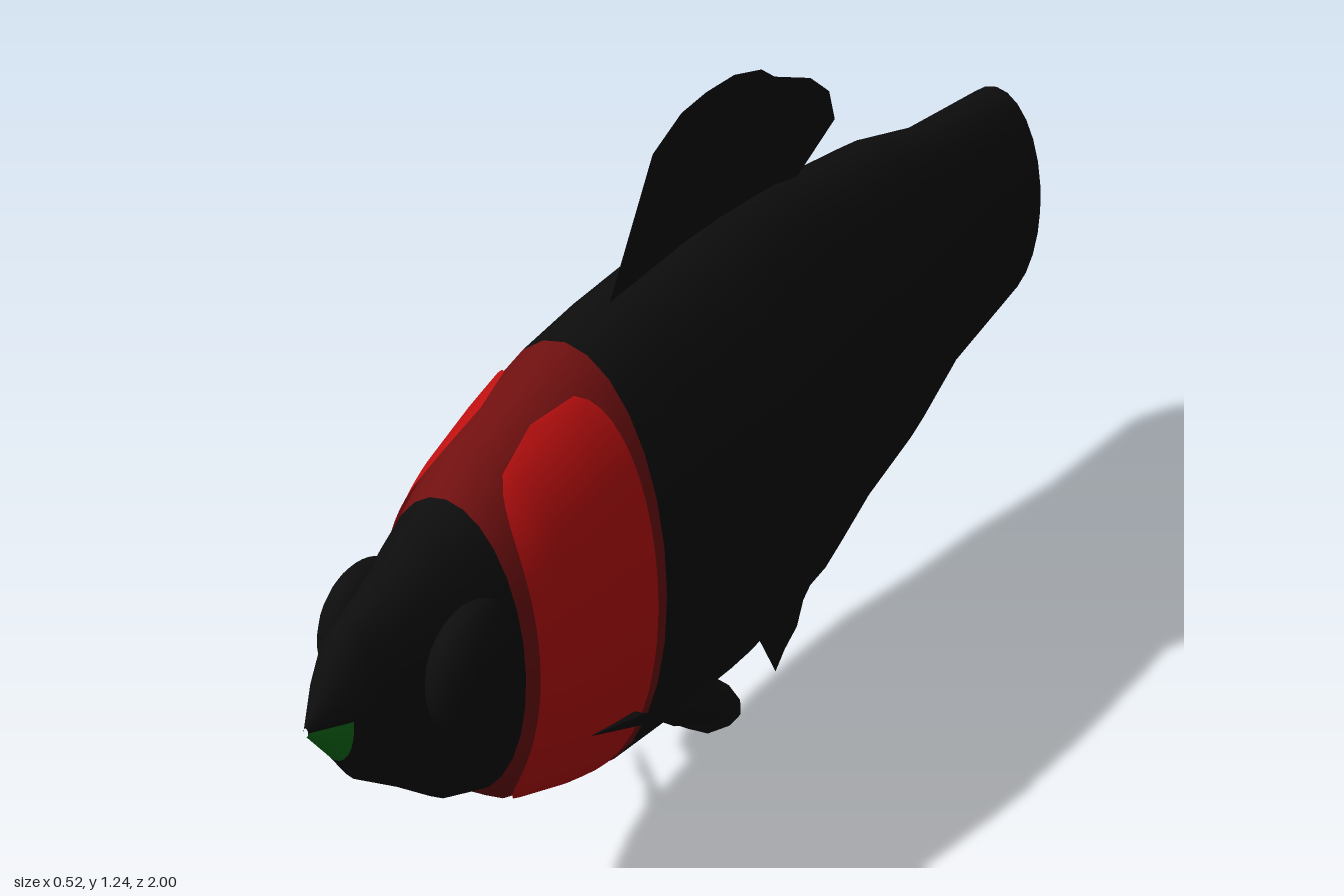
import * as THREE from 'three';

const black = new THREE.MeshStandardMaterial({ color: 0x0d0d0d, side: THREE.DoubleSide });
black.name = 'black';
const darkRed = new THREE.MeshStandardMaterial({ color: 0x701010 });
darkRed.name = 'dark red';
const brightRed = new THREE.MeshStandardMaterial({ color: 0xc01010, side: THREE.DoubleSide });
brightRed.name = 'bright red';
const green = new THREE.MeshStandardMaterial({ color: 0x0f7018 });
green.name = 'green';

// Body stations from nose to tail: z, top y, bottom y, half width
const STATIONS = [
  [1.0, 0.685, 0.67, 0.004], [0.94, 0.76, 0.59, 0.04], [0.9, 0.8, 0.53, 0.06],
  [0.8, 0.828, 0.45, 0.085], [0.72, 0.862, 0.38, 0.11], [0.65, 0.88, 0.35, 0.135],
  [0.58, 0.925, 0.29, 0.15], [0.45, 0.965, 0.235, 0.168], [0.34, 0.99, 0.2, 0.181],
  [0.2, 1.0, 0.186, 0.19], [0, 1.005, 0.17, 0.194], [-0.1, 1.0, 0.178, 0.192],
  [-0.25, 0.985, 0.195, 0.183], [-0.4, 0.947, 0.255, 0.163], [-0.57, 0.92, 0.295, 0.148],
  [-0.75, 0.866, 0.362, 0.118], [-1, 0.835, 0.398, 0.1],
];

// Point on the body surface at a given z and angle, pushed out by an offset
function bodyPoint(z, angle, offset = 0) {
  let i = 0;
  while (i < STATIONS.length - 2 && STATIONS[i + 1][0] > z) i++;
  const [a, b] = [STATIONS[i], STATIONS[i + 1]];
  const t = (a[0] - z) / (a[0] - b[0]);
  const [, top, bottom, w] = a.map((v, k) => v + (b[k] - v) * t);
  return [
    Math.cos(angle) * (w + offset),
    (top + bottom) / 2 + Math.sin(angle) * ((top - bottom) / 2 + offset),
    z,
  ];
}

// Geometry from positions and one index list per material
function surface(positions, lists) {
  const geo = new THREE.BufferGeometry();
  geo.setAttribute('position', new THREE.Float32BufferAttribute(positions, 3));
  geo.setIndex(lists.flat());
  let start = 0;
  lists.forEach((list, m) => {
    geo.addGroup(start, list.length, m);
    start += list.length;
  });
  geo.computeVertexNormals();
  return geo;
}

// Elliptical loft, with a dark red collar and a green lower lip
function bodyGeometry() {
  const N = 28, positions = [], lists = [[], [], []];
  STATIONS.forEach(([z], i) => {
    for (let j = 0; j < N; j++) positions.push(...bodyPoint(z, (j / N) * Math.PI * 2));
    if (i === STATIONS.length - 1) return;
    for (let j = 0; j < N; j++) {
      const a = i * N + j, b = i * N + ((j + 1) % N), c = a + N, d = b + N;
      const collar = z <= 0.65 && z > 0.34;
      const lip = i === 0 && j >= N / 2;
      lists[collar ? 1 : lip ? 2 : 0].push(a, c, b, b, c, d);
    }
  });
  return surface(positions, lists);
}

// Rounded cheek panel lying just above the collar
function cheekGeometry() {
  const rows = 28, cols = 10, positions = [], list = [];
  for (let r = 0; r <= rows; r++) {
    const t = (r / rows) * 2 - 1;
    const half = 0.13 * Math.pow(Math.max(0, 1 - Math.pow(Math.abs(t), 4)), 0.3);
    for (let c = 0; c <= cols; c++) {
      const z = 0.497 + half * (1 - (2 * c) / cols);
      positions.push(...bodyPoint(z, t * 1.3, 0.005));
      if (r < rows && c < cols) {
        const a = r * (cols + 1) + c, b = a + cols + 1;
        list.push(a, a + 1, b, b, a + 1, b + 1);
      }
    }
  }
  return surface(positions, [list]);
}

// Flat fin on the centre plane, outline given as (z, y)
function centreFin(points) {
  const shape = new THREE.Shape(points.map(([z, y]) => new THREE.Vector2(z, y)));
  return new THREE.ShapeGeometry(shape).rotateY(-Math.PI / 2);
}

// Slanted leaf fin: a fan around its mean point
function leafFin(points) {
  const n = points.length;
  const centre = [0, 1, 2].map((k) => points.reduce((s, p) => s + p[k], 0) / n);
  const list = points.flatMap((_, i) => [n, i, (i + 1) % n]);
  return surface([...points, centre].flat(), [list]);
}

export function createModel() {
  const model = new THREE.Group();
  model.name = 'fish';

  function add(name, geometry, material, parent = model) {
    const mesh = new THREE.Mesh(geometry, material);
    mesh.name = name;
    parent.add(mesh);
    return mesh;
  }

  add('body', bodyGeometry(), [black, darkRed, green]);

  // Blunt tail end
  const tail = add('tailEnd', new THREE.CircleGeometry(1, 28), black);
  tail.scale.set(0.1, 0.2185, 1);
  tail.rotation.y = Math.PI;
  tail.position.set(0, 0.6165, -1);

  add('dorsalFin', centreFin([
    [0.22, 1.0], [0.1, 1.2], [0.02, 1.235], [-0.05, 1.24], [-0.13, 1.235], [-0.21, 1.21],
    [-0.25, 1.18], [-0.36, 1.13], [-0.42, 1.08], [-0.44, 1.02], [-0.32, 0.965], [0.18, 0.95],
  ]), black);
  add('analFin', centreFin([
    [-0.17, 0.2], [-0.28, 0.0], [-0.31, 0.03], [-0.35, 0.055], [-0.37, 0.1], [-0.42, 0.14],
    [-0.465, 0.2], [-0.38, 0.26], [-0.3, 0.28],
  ]), black);

  // Paired parts, mirrored across x
  const cheek = cheekGeometry();
  const eye = new THREE.SphereGeometry(1, 24, 16).scale(0.05, 0.105, 0.1).translate(0.097, 0.67, 0.73);
  const pectoral = leafFin([
    [0.14, 0.405, 0.49], [0.2, 0.422, 0.39], [0.25, 0.385, 0.31], [0.26, 0.36, 0.28],
    [0.235, 0.345, 0.29], [0.2, 0.36, 0.35], [0.14, 0.4, 0.4],
  ]);
  const pelvic = leafFin([
    [0.05, 0.2, 0.17], [0.07, 0.15, 0.11], [0.083, 0.12, 0.07], [0.095, 0.11, 0.02],
    [0.097, 0.115, -0.01], [0.093, 0.14, -0.015], [0.08, 0.175, 0.0], [0.05, 0.21, 0.03],
  ]);
  for (const [side, sign] of [['left', 1], ['right', -1]]) {
    const half = new THREE.Group();
    half.name = side + 'Side';
    half.scale.x = sign;
    add(side + 'Cheek', cheek, brightRed, half);
    add(side + 'Eye', eye, black, half);
    add(side + 'PectoralFin', pectoral, black, half);
    add(side + 'PelvicFin', pelvic, black, half);
    model.add(half);
  }
  return model;
}
